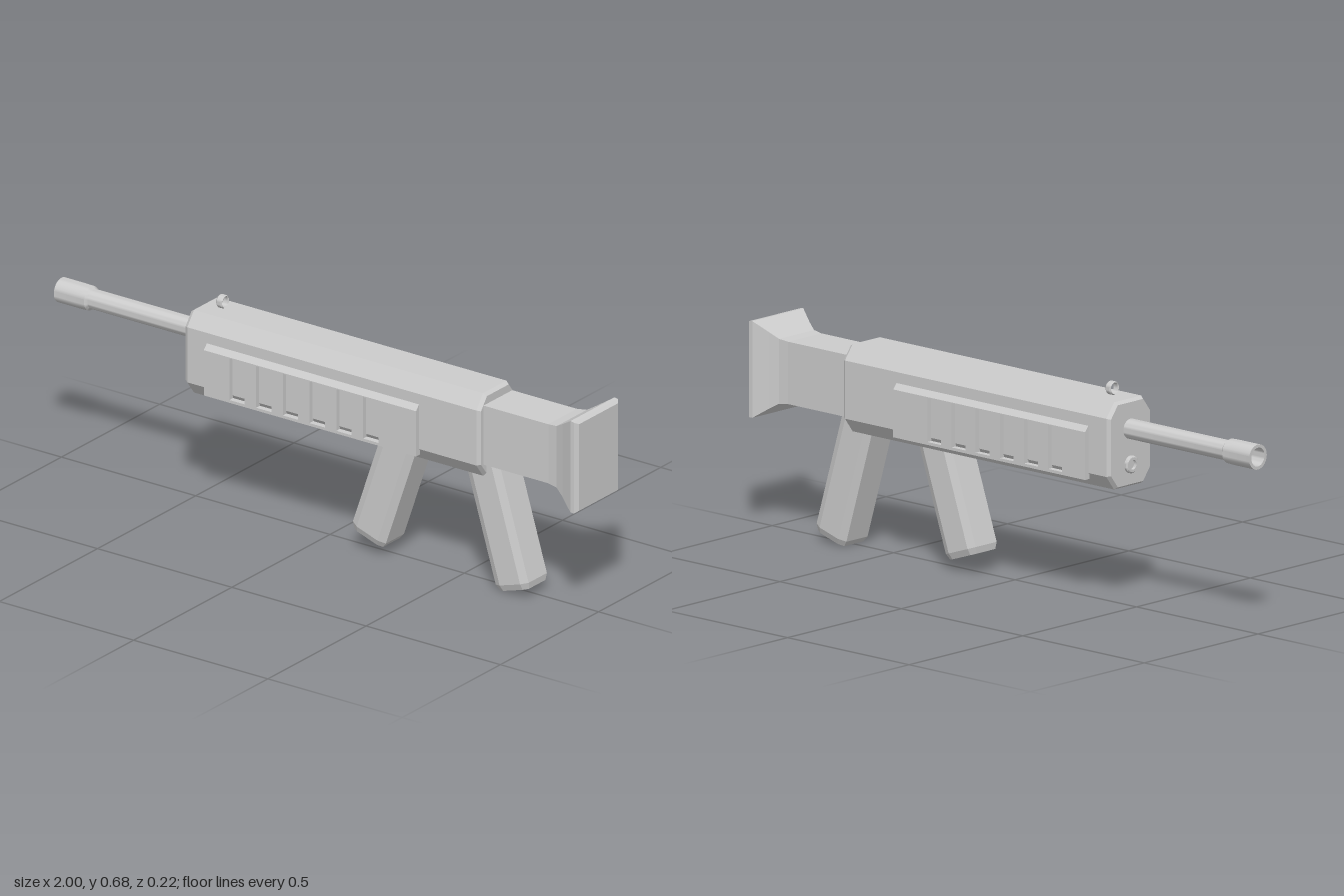
import * as THREE from 'three';
import { toCreasedNormals } from 'three/addons/utils/BufferGeometryUtils.js';

const material = new THREE.MeshStandardMaterial({ color: 0xcccccc });

function part(name, geometry, x = 0, y = 0, z = 0) {
  const mesh = new THREE.Mesh(geometry, material);
  mesh.name = name;
  mesh.position.set(x, y, z);
  return mesh;
}

function polygon(points) {
  return new THREE.Shape(points.map(([x, y]) => new THREE.Vector2(x, y)));
}

// Bar along +z with chamfered corners (cw by ch) and bevelled ends
function chamferedBar(w, h, cw, ch, length, bevelSize, bevelThickness) {
  const a = w / 2, b = h / 2;
  const shape = polygon([
    [a - cw, -b], [a, -b + ch], [a, b - ch], [a - cw, b],
    [-a + cw, b], [-a, b - ch], [-a, -b + ch], [-a + cw, -b],
  ]);
  const geometry = new THREE.ExtrudeGeometry(shape, {
    depth: length - 2 * bevelThickness, bevelSegments: 1,
    bevelSize, bevelThickness, bevelOffset: -bevelSize,
  });
  return geometry.translate(0, 0, bevelThickness);
}

// Turned part around the x axis; profile is [radius, distance towards -x]
function turned(profile) {
  const points = profile.map(([r, d]) => new THREE.Vector2(r, d));
  const geometry = new THREE.LatheGeometry(points, 28).rotateZ(Math.PI / 2);
  return toCreasedNormals(geometry, 0.6);
}

// Rectangular loft along x; each section is [x, half width, bottom, top]
function loft(sections) {
  const rings = sections.map(([x, w, lo, hi]) => [[x, lo, w], [x, hi, w], [x, hi, -w], [x, lo, -w]]);
  const positions = [];
  const quad = (a, b, c, d) => positions.push(...a, ...b, ...c, ...a, ...c, ...d);
  for (let i = 0; i < rings.length - 1; i++) {
    for (let k = 0; k < 4; k++) {
      const n = (k + 1) % 4;
      quad(rings[i][k], rings[i + 1][k], rings[i + 1][n], rings[i][n]);
    }
  }
  const first = rings[0], last = rings[rings.length - 1];
  quad(first[0], first[1], first[2], first[3]);
  quad(last[0], last[3], last[2], last[1]);
  const geometry = new THREE.BufferGeometry();
  geometry.setAttribute('position', new THREE.Float32BufferAttribute(positions, 3));
  geometry.computeVertexNormals();
  return geometry;
}

// Slotted side panel with a sloping top edge; side is +1 or -1 in z
function sidePanel(side) {
  const group = new THREE.Group();
  group.name = side > 0 ? 'frontSidePanel' : 'backSidePanel';
  const x0 = -0.39, x1 = 0.4, y0 = 0.393, y1 = 0.541, inner = 0.09, outer = 0.109;

  const plate = polygon([[x0, y0], [x1, y0], [x1, y1], [x0, y1]]);
  for (let i = 0; i < 6; i++) {
    const x = -0.295 + i * 0.0995;
    plate.holes.push(polygon([[x, 0.402], [x, 0.538], [x + 0.057, 0.538], [x + 0.057, 0.402]]));
  }
  const plateGeometry = new THREE.ExtrudeGeometry(plate, { depth: outer - inner, bevelEnabled: false });
  group.add(part('slottedPlate', plateGeometry, 0, 0, side > 0 ? inner : -outer));

  // Profile x becomes -z when turned to run along the model
  const wedge = polygon([[-side * inner, y1], [-side * outer, y1], [-side * 0.094, 0.558], [-side * inner, 0.558]]);
  const wedgeGeometry = new THREE.ExtrudeGeometry(wedge, { depth: x1 - x0, bevelEnabled: false });
  group.add(part('slopedEdge', wedgeGeometry.rotateY(Math.PI / 2), x0));
  return group;
}

// Leaning bar hanging below the body, given by the centre of its lower end
function leaningBar(name, x, y, angle, length, width, depth) {
  const geometry = chamferedBar(width, depth, 0.024, 0.012, length, 0.008, 0.02);
  geometry.rotateX(Math.PI / 2).translate(0, length, 0);
  const mesh = part(name, geometry, x, y);
  mesh.rotation.z = angle;
  return mesh;
}

export function createModel() {
  const model = new THREE.Group();
  model.name = 'toyRifle';

  // Main body
  const body = chamferedBar(0.187, 0.27, 0.034, 0.045, 1.1, 0.008, 0.012).rotateY(Math.PI / 2);
  model.add(part('body', body, -0.475, 0.502));
  for (const side of [1, -1]) model.add(sidePanel(side));

  // Barrel with a wider hollow muzzle
  model.add(part('barrel', turned([
    [0.031, 0.45], [0.031, 0.88], [0.038, 0.888], [0.039, 0.92], [0.039, 1],
    [0.029, 1], [0.029, 0.88], [0, 0.88],
  ]), 0, 0.547));

  // Small hollow stud below the barrel
  model.add(part('frontStud', turned([
    [0.027, 0.465], [0.027, 0.482], [0.023, 0.486], [0.015, 0.486], [0.015, 0.476], [0, 0.476],
  ]), 0, 0.437));

  // Ring sight on top
  model.add(part('ringSight', turned([
    [0.015, -0.008], [0.018, -0.011], [0.021, -0.007], [0.021, 0.007],
    [0.018, 0.011], [0.015, 0.008], [0.015, -0.008],
  ]), -0.4, 0.661));

  // Shoulder stock flaring to the butt
  model.add(part('stock', loft([
    [0.6, 0.073, 0.411, 0.604], [0.866, 0.073, 0.411, 0.604], [0.9, 0.077, 0.407, 0.608],
    [0.93, 0.089, 0.389, 0.626], [0.977, 0.112, 0.357, 0.656], [0.99, 0.112, 0.357, 0.654],
    [1, 0.1, 0.364, 0.647],
  ])));

  model.add(leaningBar('magazine', 0.174, 0.049, -0.33, 0.39, 0.13, 0.116));
  model.add(leaningBar('grip', 0.718, 0.0155, 0.29, 0.44, 0.128, 0.117));

  return model;
}
